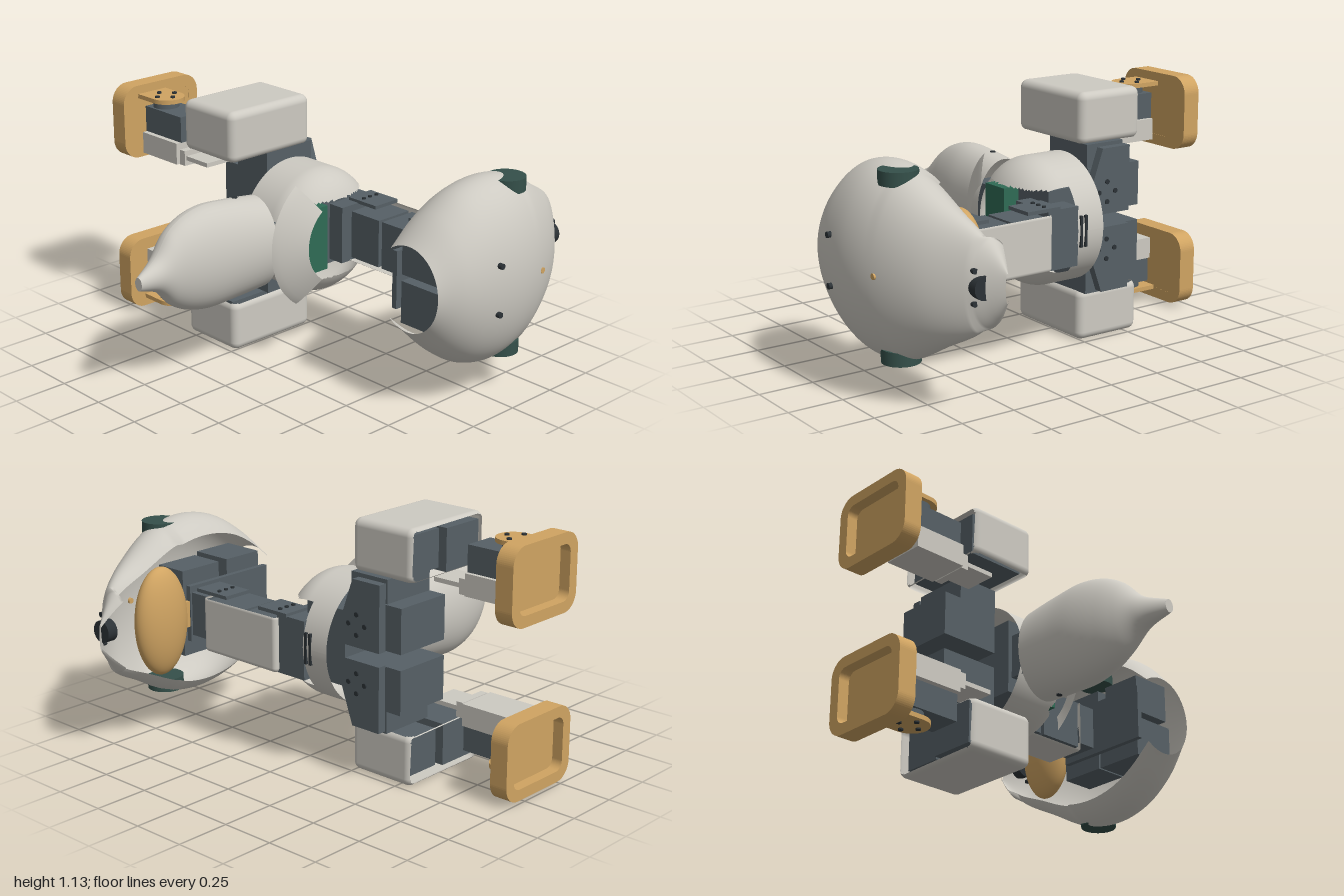
import * as THREE from 'three';
import { RoundedBoxGeometry } from 'three/addons/geometries/RoundedBoxGeometry.js';

const D = THREE.DoubleSide;
const mat = (color) => new THREE.MeshStandardMaterial({ color, side: D });
const light = mat(0xcdcac2), dark = mat(0x566066), tan = mat(0xd0a462);
const teal = mat(0x35504a), green = mat(0x2f6b55), black = mat(0x2c3236);

function add(parent, name, geo, m, x = 0, y = 0, z = 0) {
  const mesh = new THREE.Mesh(geo, m);
  mesh.name = name;
  mesh.position.set(x, y, z);
  parent.add(mesh);
  return mesh;
}

// Box given by its ranges on the three axes
function box(parent, name, m, [x0, x1], [y0, y1], [z0, z1]) {
  const geo = new THREE.BoxGeometry(Math.abs(x1 - x0), Math.abs(y1 - y0), Math.abs(z1 - z0));
  return add(parent, name, geo, m, (x0 + x1) / 2, (y0 + y1) / 2, (z0 + z1) / 2);
}

// Cylinder along 'x', 'y' or 'z'
function pin(parent, name, m, axis, r, len, x, y, z) {
  const geo = new THREE.CylinderGeometry(r, r, len, 32);
  if (axis === 'x') geo.rotateZ(Math.PI / 2);
  if (axis === 'z') geo.rotateX(Math.PI / 2);
  return add(parent, name, geo, m, x, y, z);
}

// Surface through a grid of points f(u, v); keep() can cut openings
function surface(nu, nv, f, keep = () => true) {
  const pos = [], idx = [], c = new THREE.Vector3();
  const pts = [];
  for (let i = 0; i <= nu; i++) for (let j = 0; j <= nv; j++) {
    const p = new THREE.Vector3(...f(i / nu, j / nv));
    pts.push(p);
    pos.push(p.x, p.y, p.z);
  }
  for (let i = 0; i < nu; i++) for (let j = 0; j < nv; j++) {
    const a = i * (nv + 1) + j, b = a + nv + 1;
    c.addVectors(pts[a], pts[b + 1]).multiplyScalar(0.5);
    if (keep(c)) idx.push(a, b, b + 1, a, b + 1, a + 1);
  }
  const g = new THREE.BufferGeometry();
  g.setAttribute('position', new THREE.Float32BufferAttribute(pos, 3));
  g.setIndex(idx);
  g.computeVertexNormals();
  return g;
}

// Rounded cover with the sides rejected by keep() left open
function cover(w, h, d, r, keep) {
  const g = new RoundedBoxGeometry(w, h, d, 4, r).toNonIndexed();
  const p = g.attributes.position, n = g.attributes.normal, pos = [], nor = [];
  for (let i = 0; i < p.count; i += 3) {
    const m = new THREE.Vector3();
    for (let k = 0; k < 3; k++) m.add(new THREE.Vector3().fromBufferAttribute(p, i + k));
    m.divideScalar(3);
    if (!keep(m.x / w * 2, m.y / h * 2, m.z / d * 2)) continue;
    for (let k = i; k < i + 3; k++) {
      pos.push(p.getX(k), p.getY(k), p.getZ(k));
      nor.push(n.getX(k), n.getY(k), n.getZ(k));
    }
  }
  const out = new THREE.BufferGeometry();
  out.setAttribute('position', new THREE.Float32BufferAttribute(pos, 3));
  out.setAttribute('normal', new THREE.Float32BufferAttribute(nor, 3));
  return out;
}

function roundRect(S, w, h, r) {
  const s = new S(), x = w / 2, y = h / 2;
  s.absarc(x - r, y - r, r, 0, Math.PI / 2);
  s.absarc(-x + r, y - r, r, Math.PI / 2, Math.PI);
  s.absarc(-x + r, -y + r, r, Math.PI, Math.PI * 1.5);
  s.absarc(x - r, -y + r, r, Math.PI * 1.5, Math.PI * 2);
  s.closePath();
  return s;
}

const curve = (rows) => new THREE.CatmullRomCurve3(rows.map((r) => new THREE.Vector3(...r)));

function head(root) {
  const g = new THREE.Group();
  g.name = 'head';
  root.add(g);
  // x, half width, crown height
  const line = curve([[-.12, .19, .89], [0, .31, .955], [.12, .385, .985], [.27, .415, .995], [.43, .39, .968],
    [.62, .29, .885], [.77, .205, .765], [.84, .13, .69], [.89, .06, .64]]);
  const a0 = 0.61;
  add(g, 'headShell', surface(70, 64, (u, v) => {
    const { x, y: w, z: top } = line.getPoint(u);
    const low = x < .42 ? .62 : x < .79 ? .64 : .585 + (x - .79) * .4;
    const mid = low + (top - low) * .38;
    const a = -a0 + v * (Math.PI + 2 * a0), s = Math.sin(a);
    return [x, w * Math.cos(a), mid + s * (s > 0 ? top - mid : (mid - low) / Math.sin(a0))];
  }), light);
  for (const s of [-1, 1]) {
    pin(g, 'eye', teal, 'y', .083, .06, .385, s * .37, .8);
    pin(g, 'crownScrew', black, 'z', .013, .02, .15, s * .108, .988);
    pin(g, 'beakScrew', black, 'x', .012, .02, .80, s * .066, .725);
  }
  pin(g, 'crownPin', tan, 'z', .013, .02, .45, 0, .957);
  pin(g, 'beakCamera', black, 'x', .05, .05, .81, 0, .695);
  const jaw = add(g, 'chin', new THREE.SphereGeometry(1, 48, 32), tan, .555, 0, .62);
  jaw.scale.set(.14, .25, .078);
  box(g, 'chinPlate', tan, [.33, .6], [-.06, .06], [.6, .625]);
  box(g, 'headPlate', dark, [-.08, .4], [-.13, .13], [.595, .62]);
  box(g, 'headServo', dark, [-.05, .19], [-.2, -.01], [.62, .84]);
  box(g, 'headServo', dark, [-.05, .15], [.02, .2], [.62, .82]);
  box(g, 'headServo', dark, [.2, .42], [-.2, .2], [.62, .78]);
}

function neck(root) {
  const g = new THREE.Group();
  g.name = 'neck';
  root.add(g);
  add(g, 'neckCover', cover(.22, .26, .45, .02, (x, y, z) => y < .93 && x > -.95), light, .3, -.02, .275);
  box(g, 'neckLowerServo', dark, [.2, .39], [-.13, .09], [.07, .24]);
  box(g, 'neckUpperServo', dark, [.2, .39], [-.13, .09], [.26, .48]);
  box(g, 'neckBase', dark, [.15, .385], [-.15, .115], [-.1, .06]);
  box(g, 'neckTop', dark, [.21, .39], [-.1, .1], [.5, .6]);
  for (const [z0, z1] of [[0, .17], [.37, .56]]) {
    box(g, 'neckBracket', dark, [.25, .39], [.112, .128], [z0, z1]);
    for (const x of [.28, .32, .36]) pin(g, 'screw', black, 'y', .009, .01, x, .13, (z0 + z1) / 2 - .02);
  }
}

function body(root) {
  const g = new THREE.Group();
  g.name = 'body';
  root.add(g);
  // Dome open towards the neck
  add(g, 'bodyShell', surface(60, 160, (u, v) => {
    const t = Math.max(0, (u - .4) / .6) * Math.PI / 2;
    const z = u < .4 ? -.235 + u / .4 * .165 : -.07 + .2 * Math.sin(t);
    const a = v * Math.PI * 2, k = Math.cos(t) ** .85;
    return [.105 + .285 * k * Math.cos(a), .29 * k * Math.sin(a), z];
  }, (p) => !(p.z > -.1 && p.x > .32) && !(p.z > -.06 && Math.abs(p.y) < .18 && p.x > -.1)), light);
  // Rear collar
  add(g, 'collar', surface(8, 40, (u, v) => {
    const a = Math.PI + (v - .5) * 1.9, r = .34 - .145 * u ** 1.2;
    return [.084 + r * Math.cos(a), r * Math.sin(a), .04 + .08 * u];
  }), light);
  box(g, 'bodyCore', dark, [-.1, .28], [-.17, .17], [-.24, -.02]);
  box(g, 'circuitBoard', green, [-.08, .06], [-.15, .15], [-.02, .06]);
  for (const z of [-.14, -.115]) box(g, 'vent', black, [.38, .394], [-.07, .07], [z - .006, z + .006]);
}

function tail(root) {
  // x, half width, middle height, half height in two matched curves
  const plan = curve([[-.89, .03, 0], [-.78, .075, 0], [-.69, .165, 0], [-.61, .21, 0], [-.5, .235, 0], [-.35, .228, 0], [-.2, .212, 0]]);
  const side = curve([[-.89, -.08, .022], [-.78, -.11, .06], [-.69, -.13, .092], [-.61, -.137, .115], [-.5, -.14, .134], [-.35, -.136, .142], [-.2, -.128, .148]]);
  const g = new THREE.Group();
  g.name = 'tail';
  root.add(g);
  add(g, 'tailShell', surface(48, 48, (u, v) => {
    const p = plan.getPoint(u), q = side.getPoint(u), a = v * Math.PI * 2;
    return [p.x, p.y * Math.cos(a), q.y + q.z * Math.sin(a)];
  }), light);
  pin(g, 'tailTip', light, 'x', .03, .004, -.888, 0, -.08).scale.z = .75;
  for (const s of [-1, 1]) pin(g, 'tailScrew', black, 'y', .013, .02, -.31, s * .217, -.14);
  box(g, 'tailServo', dark, [-.33, -.1], [-.1, .1], [-.22, -.04]);
}

function leg(root, s) {
  const g = new THREE.Group();
  g.name = s > 0 ? 'upperLeg' : 'lowerLeg';
  root.add(g);
  const b = (name, m, x, y, z) => box(g, name, m, x, y.map((v) => v * s), z);
  // Hip
  b('hipServo', dark, [-.02, .26], [.035, .235], [-.535, -.25]);
  b('hipBlock', dark, [-.02, .25], [.1, .34], [-.45, -.25]);
  const plate = new THREE.Shape([[-.3, .326], [-.45, .326], [-.45, .03], [-.26, .03], [-.23, .13]]
    .map(([z, y]) => new THREE.Vector2(z, y * s)));
  const hip = new THREE.ExtrudeGeometry(plate, { depth: .04, bevelEnabled: false });
  add(g, 'hipBracket', hip.rotateY(-Math.PI / 2), dark, .3, 0, 0);
  for (let i = 0; i < 4; i++) {
    const a = i * Math.PI / 2;
    pin(g, 'screw', black, 'x', .011, .01, .3, s * (.13 + .045 * Math.sin(a)), -.325 + .045 * Math.cos(a));
    pin(g, 'screw', black, 'y', .011, .01, -.14 + .05 * Math.cos(a), s * .512, -.81 + .05 * Math.sin(a));
  }
  // Thigh cover, open inwards and behind
  add(g, 'thighCover', cover(.47, .235, .335, .035, (x, y, z) => y * s > -.93 && z > -.95), light, -.005, s * .4475, -.4);
  b('thighServo', dark, [-.21, .0], [.34, .53], [-.555, -.28]);
  b('kneeServo', dark, [.02, .2], [.36, .53], [-.53, -.28]);
  // Shin
  b('kneeBracket', light, [-.21, -.06], [.265, .285], [-.62, -.44]);
  b('kneeBlock', light, [-.22, -.05], [.24, .31], [-.62, -.585]);
  b('shinCover', light, [-.235, -.04], [.24, .34], [-.87, -.625]);
  b('ankleServo', dark, [-.21, -.06], [.34, .46], [-.875, -.62]);
  pin(g, 'anklePivot', dark, 'y', .06, .04, -.14, s * .475, -.81);
  // Ankle plate with a rounded end
  b('anklePlate', tan, [-.22, -.06], [.49, .51], [-.92, -.8]);
  pin(g, 'anklePlateEnd', tan, 'y', .08, .02, -.14, s * .5, -.8);
  // Foot: rim around a shallow sole
  const rim = roundRect(THREE.Shape, .435, .345, .08);
  rim.holes.push(roundRect(THREE.Path, .335, .245, .04));
  add(g, 'footRim', new THREE.ExtrudeGeometry(rim, { depth: .085, bevelEnabled: false, curveSegments: 8 }), tan, -.0875, s * .3775, -1);
  b('footSole', tan, [-.256, .081], [.254, .501], [-.95, -.916]);
}

export function createModel() {
  const root = new THREE.Group();
  root.name = 'robotBird';
  head(root);
  neck(root);
  body(root);
  tail(root);
  leg(root, 1);
  leg(root, -1);
  // The parts are laid out around their plane of symmetry
  for (const part of root.children) part.position.y = .57;
  return root;
}
